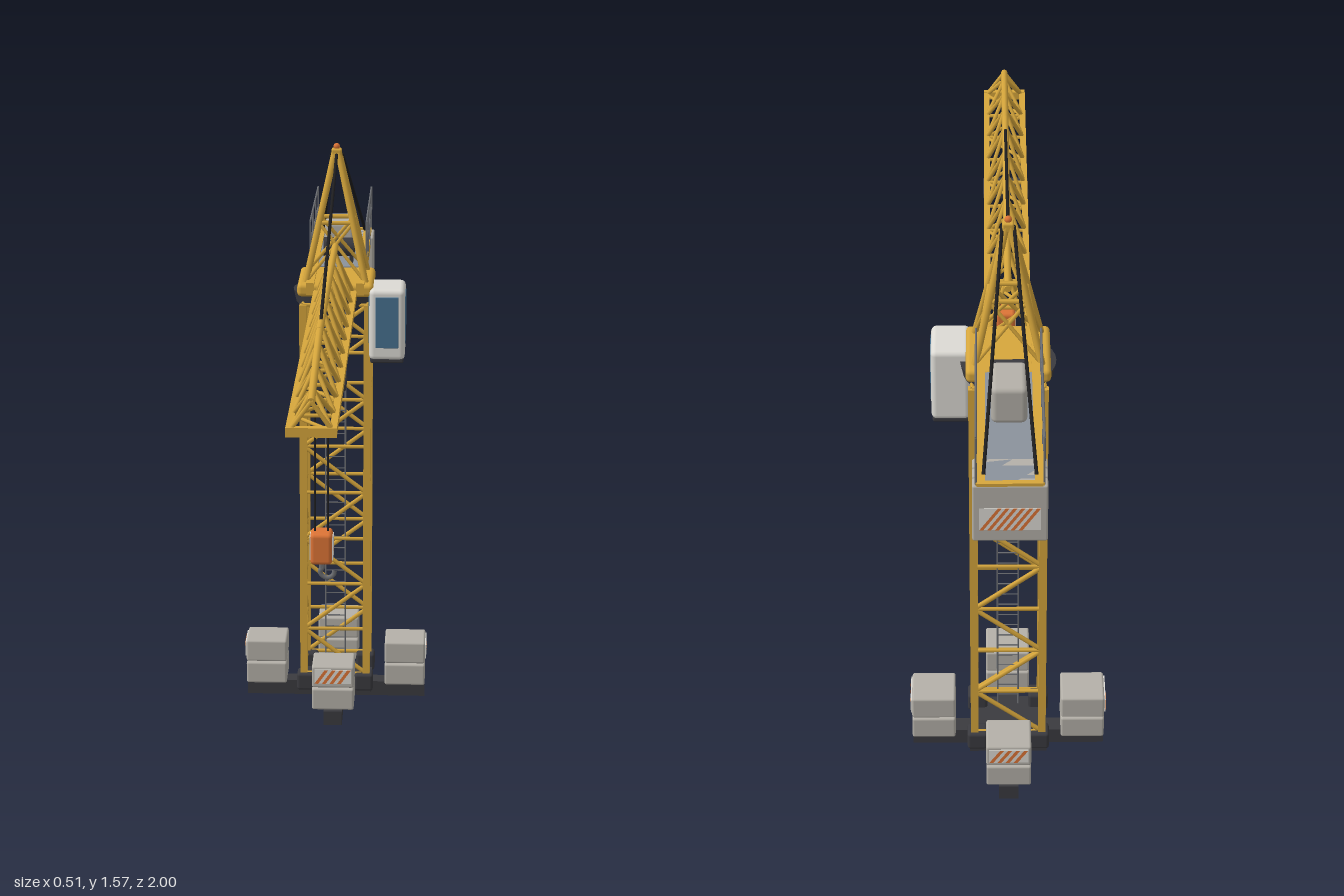
import * as THREE from 'three';
import { RoundedBoxGeometry } from 'three/addons/geometries/RoundedBoxGeometry.js';

const paint = (name, color, extra = {}) => {
  const m = new THREE.MeshStandardMaterial({ color, ...extra });
  m.name = name;
  return m;
};

export function createModel() {
  const yellow = paint('yellow paint', 0xd6a63c);
  const dark = paint('dark steel', 0x3a3a3f);
  const cable = paint('cable black', 0x1e1e20);
  const concrete = paint('concrete', 0xb4b0a8);
  const cabPaint = paint('cab white', 0xdcdad4);
  const glass = paint('window glass', 0x47708f);
  const orange = paint('warning orange', 0xdd7436, { side: THREE.DoubleSide });
  const deckGrey = paint('deck grey', 0x8b929c);
  const steel = paint('rail steel', 0x6c6e72);

  const crane = new THREE.Group();
  crane.name = 'towerCrane';
  const Z = -0.41; // mast axis
  const V = (x, y, z) => new THREE.Vector3(x, y, z);
  const group = (name, parent = crane) => {
    const g = new THREE.Group();
    g.name = name;
    parent.add(g);
    return g;
  };
  const add = (parent, name, geo, mat, x = 0, y = 0, z = 0) => {
    const m = new THREE.Mesh(geo, mat);
    m.name = name;
    m.position.set(x, y, z);
    parent.add(m);
    return m;
  };
  const box = (parent, name, w, h, d, mat, x, y, z) =>
    add(parent, name, new THREE.BoxGeometry(w, h, d), mat, x, y, z);
  const soft = (parent, name, w, h, d, r, mat, x, y, z) =>
    add(parent, name, new RoundedBoxGeometry(w, h, d, 2, r), mat, x, y, z);
  // Round bar between two points
  const bar = (parent, name, a, b, r, mat, sides = 6) => {
    const dir = b.clone().sub(a);
    const m = add(parent, name, new THREE.CylinderGeometry(r, r, dir.length(), sides), mat);
    m.position.copy(a).add(b).multiplyScalar(0.5);
    m.quaternion.setFromUnitVectors(V(0, 1, 0), dir.normalize());
    return m;
  };
  // Warning plate with slanted stripes, facing +z
  const stripes = (parent, w, h, n) => {
    const g = group('warningPlate', parent);
    box(g, 'plate', w, h, 0.004, cabPaint, 0, 0, 0);
    const lean = h * 0.7, step = (w - lean) / (n - 0.5);
    for (let i = 0; i < n; i++) {
      const x = -w / 2 + i * step, t = step / 2;
      const s = new THREE.Shape([[x, -h / 2], [x + t, -h / 2], [x + t + lean, h / 2], [x + lean, h / 2]]
        .map(p => new THREE.Vector2(...p)));
      add(g, 'stripe', new THREE.ShapeGeometry(s), orange, 0, 0, 0.003);
    }
    return g;
  };

  // Base: cross beams, feet and ballast on each arm
  const base = group('base');
  base.position.z = Z;
  box(base, 'crossBeamX', 0.5, 0.042, 0.05, dark, 0, 0.021, 0);
  box(base, 'crossBeamZ', 0.05, 0.04, 0.5, dark, 0, 0.02, 0);
  box(base, 'basePlate', 0.2, 0.02, 0.2, dark, 0, 0.044, 0);
  for (let i = 0; i < 4; i++) {
    const arm = group('ballastArm', base);
    arm.rotation.y = i * Math.PI / 2;
    soft(arm, 'foot', 0.052, 0.05, 0.052, 0.008, dark, 0.08, 0.068, 0.08);
    for (const y of [0.075, 0.14]) soft(arm, 'ballastBlock', 0.115, 0.062, 0.113, 0.006, concrete, 0, y, 0.194);
    stripes(arm, 0.1, 0.04, 4).position.set(0, 0.143, 0.252);
  }

  // Mast: four legs, each face with alternating diagonals
  const mast = group('mast');
  mast.position.z = Z;
  const bays = 8, y0 = 0.09, bayH = 0.1325, L = 0.087;
  for (let f = 0; f < 4; f++) {
    const face = group('mastFace', mast);
    face.rotation.y = f * Math.PI / 2;
    box(face, 'mastLeg', 0.02, 1.08, 0.02, yellow, L, 0.61, L);
    for (let i = 0; i <= bays; i++) {
      const y = y0 + i * bayH, s = i % 2 ? 1 : -1;
      bar(face, 'mastRung', V(-L, y, L), V(L, y, L), 0.005, yellow);
      if (i < bays) bar(face, 'mastBrace', V(-s * L, y, L), V(s * L, y + bayH, L), 0.006, yellow);
    }
  }
  const ladder = group('ladder', mast);
  for (const x of [-0.027, 0.027]) bar(ladder, 'ladderRail', V(x, 0.06, 0.065), V(x, 1.15, 0.065), 0.0025, steel);
  for (let y = 0.09; y < 1.14; y += 0.033) bar(ladder, 'ladderRung', V(-0.027, y, 0.065), V(0.027, y, 0.065), 0.0018, steel, 5);

  // Slewing ring and platform
  add(crane, 'slewingRing', new THREE.CylinderGeometry(0.117, 0.11, 0.032, 32), dark, 0, 1.16, Z);
  soft(crane, 'slewingPlatform', 0.205, 0.036, 0.215, 0.012, yellow, 0, 1.193, Z);

  // Tower head
  const head = group('towerHead');
  head.position.z = Z;
  const corner = (sx, sz, y) => {
    const t = (y - 1.2) / 0.35;
    return V(sx * (0.082 - 0.077 * t), y, sz * (0.075 - 0.07 * t));
  };
  const signs = [[1, 1], [1, -1], [-1, -1], [-1, 1]];
  signs.forEach(([sx, sz], i) => {
    const [nx, nz] = signs[(i + 1) % 4];
    bar(head, 'headLeg', corner(sx, sz, 1.2), corner(sx, sz, 1.55), 0.009, yellow, 8);
    bar(head, 'headRung', corner(sx, sz, 1.365), corner(nx, nz, 1.365), 0.006, yellow);
    bar(head, 'headBrace', corner(sx, sz, 1.21), corner(nx, nz, 1.365), 0.005, yellow);
    bar(head, 'headBrace', corner(nx, nz, 1.21), corner(sx, sz, 1.365), 0.005, yellow);
  });
  soft(head, 'headCap', 0.028, 0.026, 0.028, 0.005, yellow, 0, 1.547, 0);
  add(head, 'beacon', new THREE.SphereGeometry(0.009, 12, 8), orange, 0, 1.565, 0);

  // Jib: triangular lattice, top chord dropping toward the tip
  const jib = group('jib');
  const topY = z => z < 0.59 ? 1.315 : 1.315 - (z - 0.59) * 0.15;
  const jx = 0.05, jy = 1.185, jz = -0.31, jibBays = 10, step = 0.13;
  bar(jib, 'topChord', V(0, 1.315, jz), V(0, 1.315, 0.59), 0.009, yellow, 8);
  bar(jib, 'topChordTip', V(0, 1.315, 0.585), V(0, topY(0.99), 0.99), 0.009, yellow, 8);
  for (const s of [-1, 1]) box(jib, 'bottomChord', 0.016, 0.02, 1.34, yellow, s * jx, jy, 0.325);
  for (let i = 0; i <= jibBays; i++) {
    const z = jz + i * step, zm = z + step / 2, s = i % 2 ? 1 : -1;
    bar(jib, 'jibRung', V(-jx, jy, z), V(jx, jy, z), 0.005, yellow);
    if (i === jibBays) break;
    bar(jib, 'jibFloorBrace', V(-s * jx, jy, z), V(s * jx, jy, z + step), 0.0045, yellow);
    for (const x of [-jx, jx]) {
      bar(jib, 'jibBrace', V(x, jy, z), V(0, topY(zm), zm), 0.0055, yellow);
      bar(jib, 'jibBrace', V(0, topY(zm), zm), V(x, jy, z + step), 0.0055, yellow);
    }
  }
  for (const x of [-jx, jx]) bar(jib, 'jibEndPost', V(x, jy, 0.99), V(0, topY(0.99), 0.99), 0.0055, yellow);
  box(jib, 'jibEndBeam', 0.116, 0.022, 0.018, yellow, 0, jy, 0.991);

  // Trolley, hoist ropes and hook block
  const hoist = group('hoist');
  hoist.position.z = 0.487;
  soft(hoist, 'trolley', 0.122, 0.02, 0.092, 0.006, dark, 0, 1.159, 0);
  for (const x of [-0.016, 0.016]) bar(hoist, 'hoistRope', V(x, 0.77, 0), V(x, 1.155, 0), 0.003, cable);
  soft(hoist, 'hookBlock', 0.054, 0.08, 0.064, 0.01, orange, 0, 0.742, 0);
  for (const s of [-1, 1]) {
    const p = stripes(hoist, 0.046, 0.058, 3);
    p.position.set(s * 0.027, 0.742, 0);
    p.rotation.y = s * Math.PI / 2;
  }
  bar(hoist, 'hookShank', V(0, 0.685, 0), V(0, 0.705, 0), 0.006, steel, 8);
  const hookPath = new THREE.CatmullRomCurve3([V(0, 0.695, 0), V(0.003, 0.688, 0), V(-0.004, 0.677, 0),
    V(0.002, 0.665, 0), V(0.016, 0.66, 0), V(0.029, 0.668, 0), V(0.032, 0.68, 0)]);
  add(hoist, 'hook', new THREE.TubeGeometry(hookPath, 24, 0.006, 8), steel);

  // Counter jib with deck, railings, machinery and counterweights
  const counter = group('counterJib');
  for (const s of [-1, 1]) {
    box(counter, 'counterBeam', 0.022, 0.032, 0.7, yellow, s * 0.067, 1.2, -0.645);
    for (const y of [1.275, 1.335]) bar(counter, 'handRail', V(s * 0.077, y, -0.525), V(s * 0.077, y, -0.99), 0.0028, steel);
    for (let i = 0; i < 4; i++) {
      const z = -0.525 - i * 0.155;
      bar(counter, 'railPost', V(s * 0.077, 1.2, z), V(s * 0.077, 1.335, z), 0.0028, steel);
    }
  }
  box(counter, 'deck', 0.116, 0.01, 0.47, deckGrey, 0, 1.205, -0.755);
  for (let i = 0; i < 5; i++) box(counter, 'crossMember', 0.12, 0.016, 0.014, yellow, 0, 1.193, -0.54 - i * 0.11);
  box(counter, 'endBeam', 0.15, 0.03, 0.014, yellow, 0, 1.201, -0.99);
  soft(counter, 'machineryHouse', 0.085, 0.098, 0.125, 0.014, concrete, 0, 1.262, -0.69);
  add(counter, 'winchDrum', new THREE.CylinderGeometry(0.026, 0.026, 0.085, 20), dark, 0, 1.252, -0.578)
    .rotation.z = Math.PI / 2;
  for (const x of [-0.034, 0.034]) box(counter, 'winchStand', 0.01, 0.045, 0.03, dark, x, 1.228, -0.578);
  for (let i = 0; i < 3; i++) soft(counter, 'counterweight', 0.172, 0.152, 0.036, 0.005, concrete, 0, 1.134, -0.902 - i * 0.039);
  const rear = stripes(counter, 0.14, 0.06, 6);
  rear.position.set(0, 1.12, -0.997);
  rear.rotation.y = Math.PI;

  // Pendant lines
  bar(crane, 'jibPendant', V(0, 1.547, Z), V(0, 1.318, 0.52), 0.0045, cable);
  for (const s of [-1, 1]) bar(crane, 'counterPendant', V(s * 0.014, 1.547, Z), V(s * 0.06, 1.215, -0.96), 0.0045, cable);

  // Operator cab
  const cab = group('cab');
  cab.position.set(0.14, 1.1, -0.35);
  soft(cab, 'cabShell', 0.096, 0.196, 0.136, 0.014, cabPaint, 0, 0.004, 0);
  soft(cab, 'cabFloor', 0.09, 0.014, 0.13, 0.005, dark, 0, -0.094, 0);
  soft(cab, 'frontWindow', 0.062, 0.14, 0.006, 0.002, glass, 0, 0.012, 0.067);
  for (const s of [-1, 1]) soft(cab, 'sideWindow', 0.006, 0.13, 0.094, 0.002, glass, s * 0.047, 0.016, 0.004);
  box(cab, 'cabBracket', 0.06, 0.03, 0.08, dark, -0.07, 0.07, -0.03);

  return crane;
}
